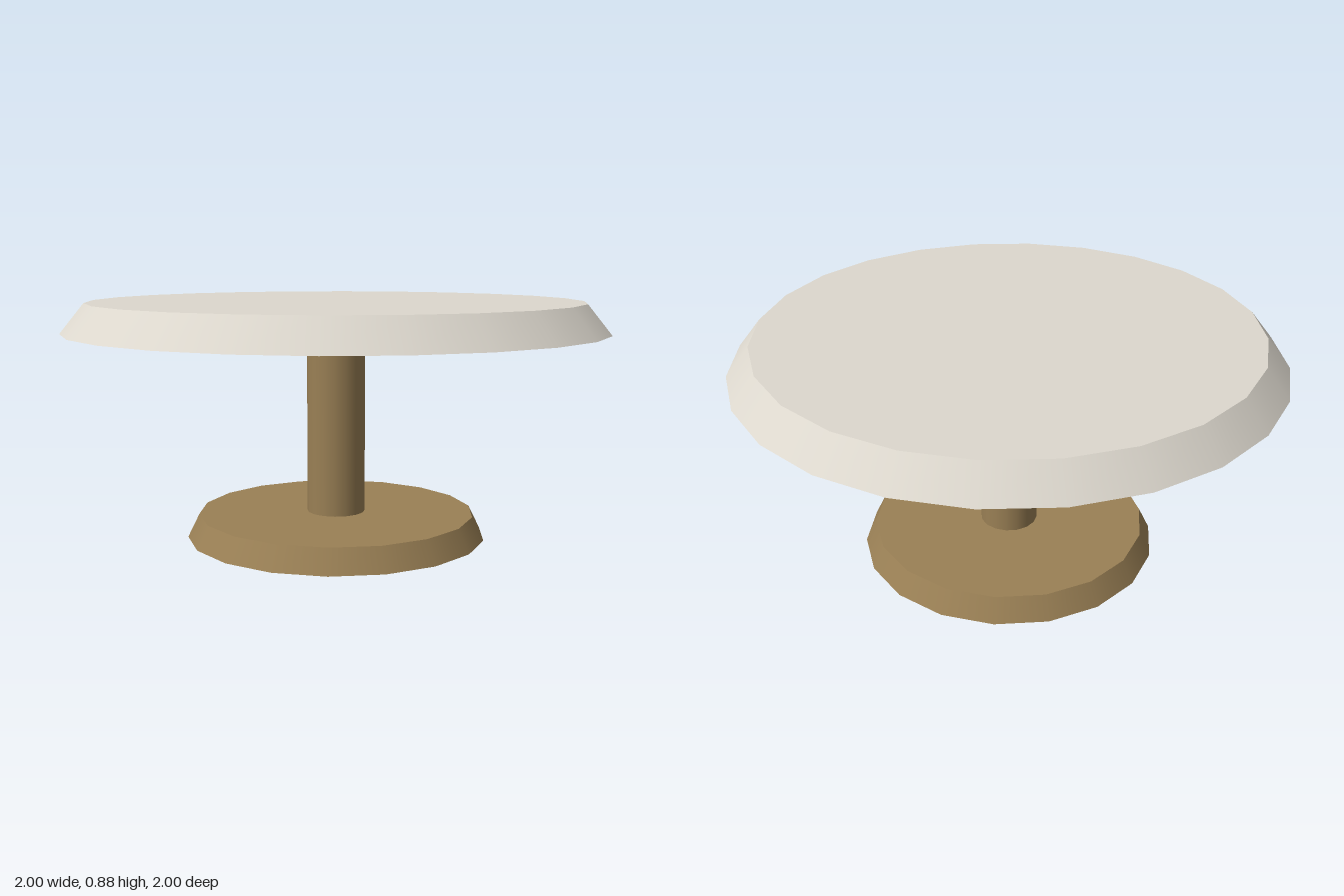
import * as THREE from 'three';

const wood = new THREE.MeshStandardMaterial({ color: 0x9a8055 });
const pale = new THREE.MeshStandardMaterial({ color: 0xddd8ce });

// A capped, optionally tapered disc or column standing between two heights
function column(name, topRadius, bottomRadius, y0, y1, sides, material) {
  const geometry = new THREE.CylinderGeometry(topRadius, bottomRadius, y1 - y0, sides);
  const mesh = new THREE.Mesh(geometry, material);
  mesh.name = name;
  mesh.position.y = (y0 + y1) / 2;
  return mesh;
}

export function createModel() {
  const table = new THREE.Group();
  table.name = 'pedestalTable';
  table.add(
    column('base', 0.52, 0.563, 0, 0.087, 18, wood),
    column('post', 0.109, 0.109, 0.087, 0.777, 16, wood),
    column('tableTop', 0.913, 1, 0.777, 0.885, 24, pale),
  );
  return table;
}
